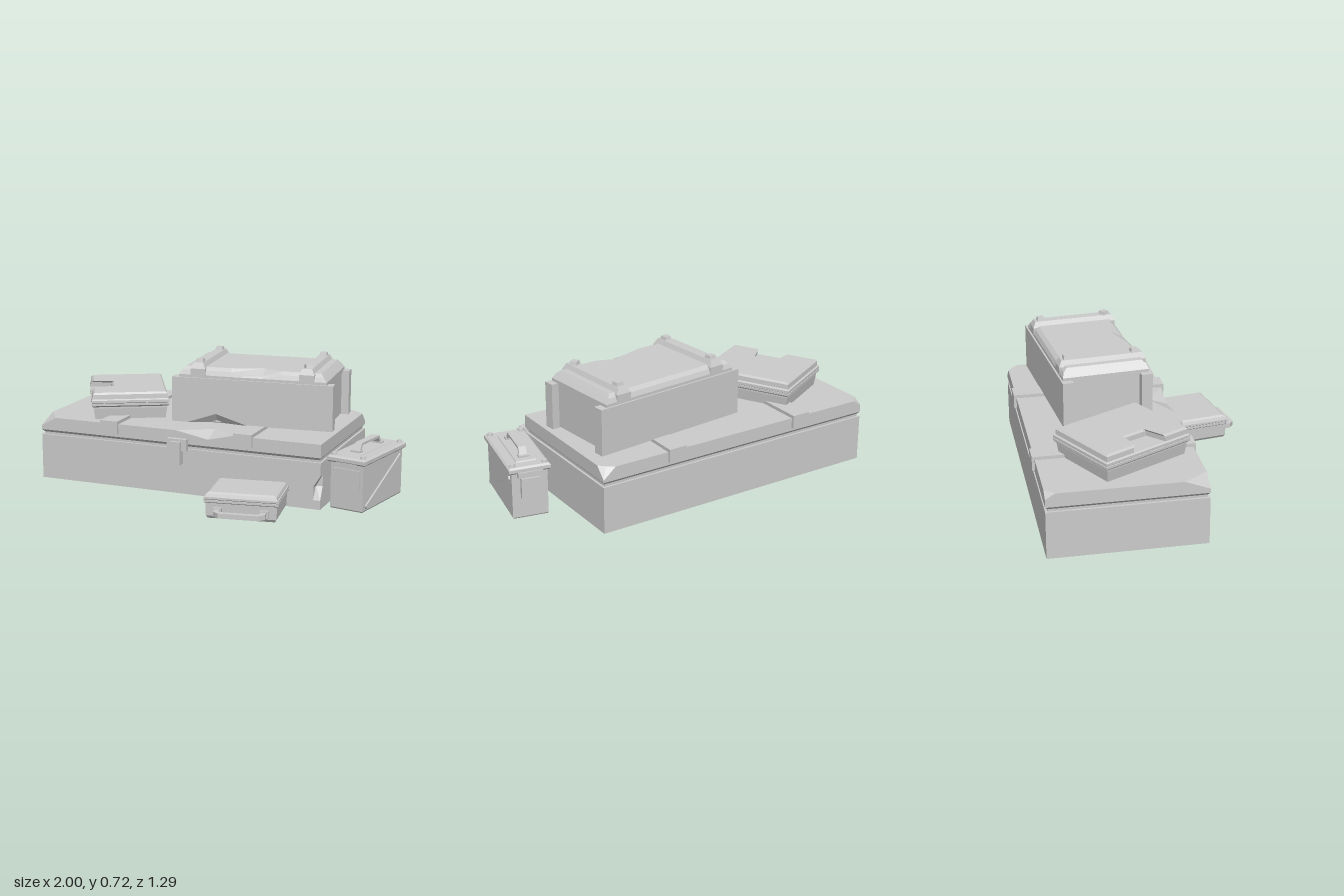
import * as THREE from 'three';

const mat = new THREE.MeshStandardMaterial({ color: 0xcccccc, flatShading: true });

function add(parent, name, geo, x = 0, y = 0, z = 0) {
  const mesh = new THREE.Mesh(geo, mat);
  mesh.name = name;
  mesh.position.set(x, y, z);
  parent.add(mesh);
  return mesh;
}

const box = (parent, name, w, h, d, x, y, z) => add(parent, name, new THREE.BoxGeometry(w, h, d), x, y, z);

function group(parent, name, x, y, z, angle) {
  const g = new THREE.Group();
  g.name = name;
  g.position.set(x, y, z);
  g.rotation.y = angle;
  parent.add(g);
  return g;
}

// Solid through closed rings of [x, y, z], counter-clockwise seen from above, lowest first
function loft(rings) {
  const n = rings[0].length, out = [];
  for (let i = 0; i < rings.length - 1; i++) {
    for (let j = 0; j < n; j++) {
      const k = (j + 1) % n, [lo, hi] = [rings[i], rings[i + 1]];
      out.push(lo[j], lo[k], hi[k], lo[j], hi[k], hi[j]);
    }
  }
  const cap = (ring, flip) => {
    const flat = ring.map(p => new THREE.Vector2(p[0], -p[2]));
    for (const [a, b, c] of THREE.ShapeUtils.triangulateShape(flat, [])) {
      out.push(ring[a], ring[flip ? c : b], ring[flip ? b : c]);
    }
  };
  cap(rings[0], true);
  cap(rings[rings.length - 1], false);
  const geo = new THREE.BufferGeometry();
  geo.setAttribute('position', new THREE.Float32BufferAttribute(out.flat(), 3));
  geo.computeVertexNormals();
  return geo;
}

const rect = (w, d) => [[-w / 2, d / 2], [w / 2, d / 2], [w / 2, -d / 2], [-w / 2, -d / 2]];

// Stack of outlines, each level [y, inset]
const tapered = (outline, levels) => loft(levels.map(([y, inset]) =>
  outline.map(([x, z]) => [x - Math.sign(x) * inset, y, z - Math.sign(z) * inset])));

// Slab with chipped upper edges; outline points [x, z, drop, innerX, innerZ]
const chipped = (outline, y0, y1) => loft([
  outline.map(([x, z]) => [x, y0, z]),
  outline.map(([x, z, drop = 0]) => [x, y1 - drop, z]),
  outline.map(([x, z, , ix = x, iz = z]) => [ix, y1, iz]),
]);

function buildTrunk(root) {
  const g = group(root, 'largeTrunk', -0.165, 0, -0.225, 0.018);
  // body with a gouge in the front right edge
  const gouge = [[0, 0], [0.05, 0], [0.12, 0.035], [0.185, 0], [0.255, 0]];
  add(g, 'trunkBody', loft(gouge.map(([y, cut]) => [
    [-0.83, y, 0.41], [0.79, y, 0.41], [0.83 - cut, y, 0.41 - cut],
    [0.83, y, 0.37], [0.83, y, -0.41], [-0.83, y, -0.41]])));
  box(g, 'trunkSeam', 1.635, 0.04, 0.795, 0, 0.265, 0);
  add(g, 'trunkLidRim', tapered(rect(1.66, 0.82), [[0.268, 0.012], [0.282, 0]]));
  // worn lid
  add(g, 'trunkLid', chipped([
    [-0.83, 0.28], [-0.83, 0.41, 0.05, -0.785, 0.345], [-0.74, 0.41],
    [0, 0.41], [0.19, 0.41, 0.035, 0.19, 0.3], [0.335, 0.41],
    [0.83, 0.41], [0.83, -0.35], [0.83, -0.41, 0.06, 0.8, -0.38], [0.76, -0.41],
    [-0.78, -0.41], [-0.83, -0.41, 0.03, -0.805, -0.385], [-0.83, -0.36],
  ], 0.282, 0.355));
  // straps wrapped over the lid
  for (const x of [-0.4, 0.395]) {
    box(g, 'lidStrap', 0.105, 0.018, 0.85, x, 0.364, 0);
    for (const s of [-1, 1]) box(g, 'strapEnd', 0.105, 0.07, 0.018, x, 0.335, s * 0.416);
  }
  // front clasp
  box(g, 'claspPlate', 0.115, 0.065, 0.03, 0.015, 0.28, 0.42);
  box(g, 'claspTongue', 0.06, 0.13, 0.045, 0.012, 0.235, 0.432);
}

function buildCrate(root) {
  const g = group(root, 'upperCrate', 0.18, 0, -0.245, 0.115);
  box(g, 'crateBody', 0.82, 0.24, 0.44, 0, 0.495, 0);
  // side boards run past the recessed ends; the front one is chipped along its foot
  const back = box(g, 'backBoard', 0.905, 0.25, 0.06, 0, 0.495, -0.215);
  back.name = 'backSideBoard';
  const front = add(g, 'frontSideBoard', chipped([
    [-0.4525, 0.03], [0.4525, 0.03], [0.4525, -0.03], [-0.02, -0.03],
    [-0.2, -0.03, 0.055, -0.2, 0.005], [-0.36, -0.03], [-0.4525, -0.03],
  ], -0.125, 0.125), 0, 0.495, 0.215);
  front.rotation.x = Math.PI;
  // lid with a dent in its front edge
  add(g, 'crateLidSkirt', tapered(rect(0.83, 0.47), [[0.61, 0], [0.635, 0]]));
  add(g, 'crateLid', loft([
    [0.635, 0.03, 0.0, 0.235], [0.66, 0.03, 0.02, 0.225], [0.678, 0, 0.035, 0.205],
  ].map(([y, , inset, z], level) => {
    const x = 0.415 - inset, dent = level === 2 ? 0.045 : 0;
    const drop = level === 1 ? 0.012 : 0;
    return [[-x, y, z], [-0.12, y, z], [0.06, y - drop, z - dent], [0.16, y, z],
      [x, y, z], [x, y, -z], [-x, y, -z]];
  })));
  // battens with square studs
  for (const x of [-0.305, 0.305]) {
    add(g, 'lidBatten', tapered(rect(0.085, 0.475), [[0.63, 0], [0.67, 0], [0.702, 0.016]]), x);
    for (const z of [-0.185, 0.185]) {
      const stud = add(g, 'battenStud', tapered(rect(0.045, 0.045), [[0.7, 0], [0.72, 0.005]]), x, 0, z);
      stud.rotation.y = x > 0 && z > 0 ? 0.5 : 0;
    }
  }
}

function buildNotchedCase(root) {
  const g = group(root, 'notchedCase', -0.63, 0.355, -0.183, -1.058);
  const outline = rect(0.538, 0.436);
  add(g, 'caseBase', tapered(outline, [[0, 0.02], [0.06, 0.012], [0.075, 0.012]]));
  add(g, 'caseRimLower', tapered(outline, [[0.07, 0.008], [0.078, 0], [0.09, 0]]));
  add(g, 'caseRimUpper', tapered(outline, [[0.09, 0.006], [0.094, 0], [0.108, 0], [0.114, 0.008]]));
  // lid cut away where the grip sits
  const notched = [[-0.269, 0.218], [-0.1, 0.218], [-0.08, 0.104], [0.09, 0.104], [0.12, 0.218],
    ...outline.slice(1)];
  add(g, 'caseLid', tapered(notched, [[0.108, 0.008], [0.14, 0.01], [0.15, 0.02]]));
}

function buildHandleCase(root) {
  const g = group(root, 'handleCase', 0.345, 0, 0.39, 0.18);
  const outline = rect(0.39, 0.304);
  add(g, 'caseBase', tapered(outline, [[0.01, 0.02], [0.025, 0.01], [0.1, 0.008]]));
  add(g, 'caseRimLower', tapered(outline, [[0.095, 0.006], [0.1, 0], [0.112, 0]]));
  add(g, 'caseRimUpper', tapered(outline, [[0.112, 0.005], [0.116, 0], [0.126, 0]]));
  add(g, 'caseLid', tapered(outline, [[0.126, 0.006], [0.142, 0.012], [0.15, 0.024]]));
  for (const x of [-0.11, 0.11]) box(g, 'caseHinge', 0.02, 0.03, 0.014, x, 0.113, -0.153);
  // carrying handle
  const grip = new THREE.Shape([[-0.135, 0], [-0.135, -0.055], [-0.105, -0.085], [0.105, -0.085],
    [0.135, -0.055], [0.135, 0], [0.108, 0], [0.108, -0.045], [0.093, -0.058], [-0.093, -0.058],
    [-0.108, -0.045], [-0.108, 0]].map(p => new THREE.Vector2(...p)));
  const handle = add(g, 'caseHandle', new THREE.ExtrudeGeometry(grip, { depth: 0.026, bevelEnabled: false }), 0, 0.04, 0.14);
  handle.rotation.x = -Math.PI / 2;
  for (const x of [-0.122, 0.122]) box(g, 'handleMount', 0.045, 0.04, 0.02, x, 0.053, 0.15);
}

function buildCan(root) {
  const g = group(root, 'metalCan', 0.848, 0, -0.077, -0.18);
  add(g, 'canBody', tapered(rect(0.19, 0.45), [[0.008, 0.004], [0.015, 0], [0.275, 0]]));
  // overhanging lid
  add(g, 'canLid', tapered(rect(0.222, 0.478), [[0.262, 0.008], [0.27, 0], [0.288, 0], [0.297, 0.01]]));
  add(g, 'lidPanel', tapered(rect(0.12, 0.36), [[0.29, 0], [0.303, 0.008]]));
  for (const x of [-0.085, 0.085]) for (const z of [-0.21, 0.21]) {
    add(g, 'lidBolt', new THREE.CylinderGeometry(0.014, 0.017, 0.016, 8), x, 0.302, z);
  }
  // folding handle
  const arch = new THREE.Shape([[-0.125, 0], [-0.1, 0.047], [0.1, 0.047], [0.125, 0], [0.108, 0],
    [0.09, 0.034], [-0.09, 0.034], [-0.108, 0]].map(p => new THREE.Vector2(...p)));
  const handle = add(g, 'canHandle', new THREE.ExtrudeGeometry(arch, { depth: 0.04, bevelEnabled: false }), -0.02, 0.302, 0);
  handle.rotation.y = Math.PI / 2;
  for (const z of [-0.12, 0.12]) box(g, 'handleFoot', 0.055, 0.012, 0.035, 0, 0.306, z);
  // framed panel and latch on the ends
  const frame = new THREE.Shape(rect(0.155, 0.11).map(p => new THREE.Vector2(...p)));
  frame.holes.push(new THREE.Path(rect(0.135, 0.09).map(p => new THREE.Vector2(...p))));
  add(g, 'frontPanelFrame', new THREE.ExtrudeGeometry(frame, { depth: 0.008, bevelEnabled: false }), 0, 0.178, 0.224);
  box(g, 'frontHingePlate', 0.12, 0.03, 0.012, 0, 0.258, 0.23);
  box(g, 'backLatch', 0.1, 0.11, 0.025, 0, 0.18, -0.235);
  box(g, 'latchTop', 0.13, 0.03, 0.03, 0, 0.255, -0.232);
  // diagonal ribs on both long sides
  for (const s of [-1, 1]) {
    const rib = box(g, 'diagonalRib', 0.012, 0.018, 0.44, s * 0.098, 0.132, 0);
    rib.rotation.x = 0.47;
  }
}

export function createModel() {
  const model = new THREE.Group();
  model.name = 'stackedCases';
  buildTrunk(model);
  buildCrate(model);
  buildNotchedCase(model);
  buildHandleCase(model);
  buildCan(model);
  return model;
}
